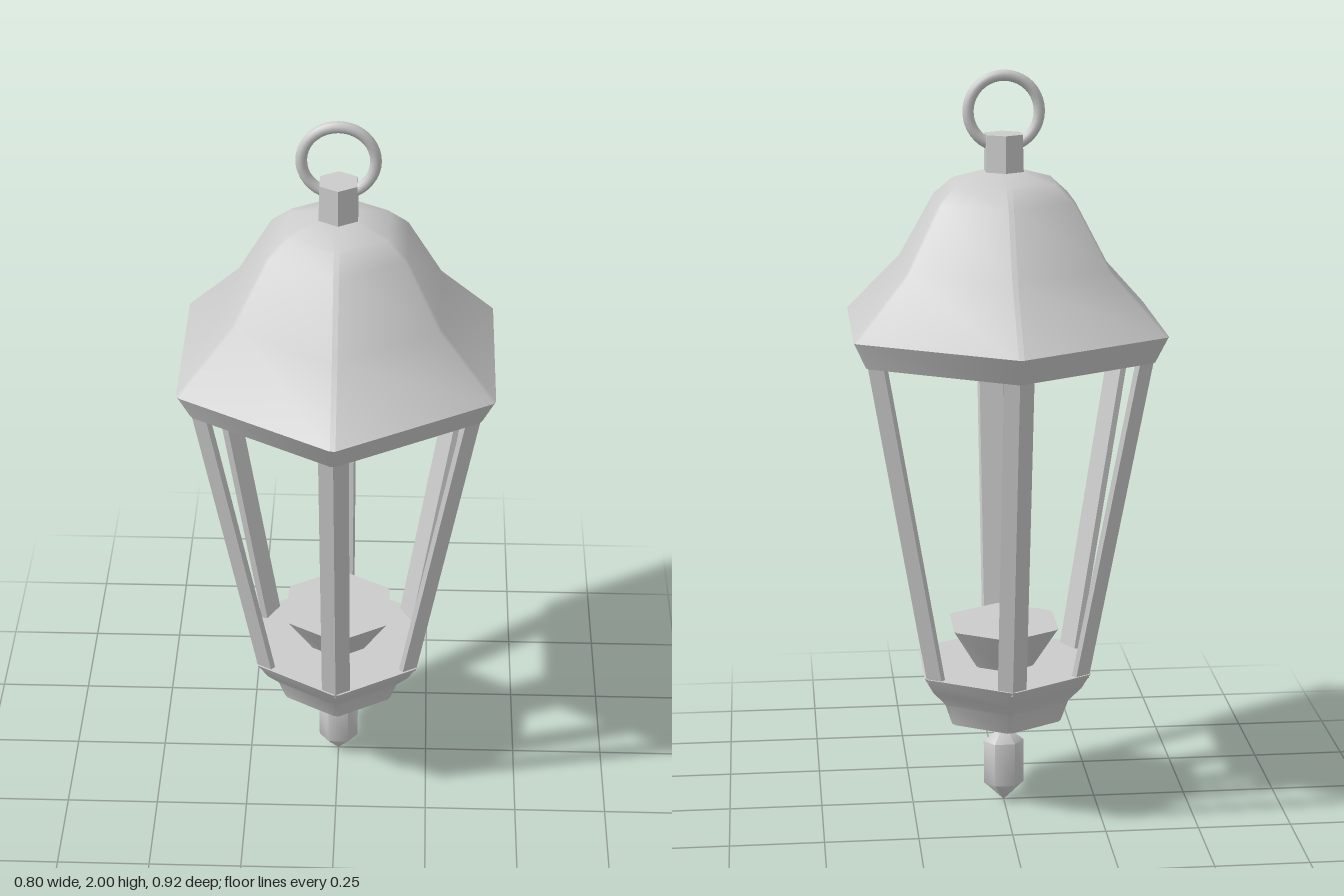
import * as THREE from 'three';
import { toCreasedNormals } from 'three/addons/utils/BufferGeometryUtils.js';

const material = new THREE.MeshStandardMaterial({ color: 0xcccccc });

function part(name, geometry) {
  const mesh = new THREE.Mesh(geometry, material);
  mesh.name = name;
  return mesh;
}

// Turned shape from [radius, y] pairs, bottom to top
function turned(profile, sides) {
  return new THREE.LatheGeometry(profile.map(([r, y]) => new THREE.Vector2(r, y)), sides);
}

// Hexagonal turned shape, corners on the z axis, each corner cut by a narrow chamfer
function hexTurned(profile) {
  const geometry = turned(profile, 12);
  const p = geometry.attributes.position;
  for (let i = 0; i <= 12; i++) {
    const angle = Math.floor((i + 1) / 2) * Math.PI / 3;
    const side = i % 2 ? -1 : 1;
    profile.forEach(([r, y], j) => {
      const cut = Math.min(0.008, r * 0.25);
      const out = r - cut * 0.5;
      const along = side * cut * 0.866;
      p.setXYZ(i * profile.length + j,
        out * Math.sin(angle) + along * Math.cos(angle), y,
        out * Math.cos(angle) - along * Math.sin(angle));
    });
  }
  return toCreasedNormals(geometry, 0.6);
}

// Corner post: angled outer faces follow the hexagon, leaning outward toward the top
function postGeometry(bottom, top) {
  const shape = new THREE.Shape([
    [0, 0], [0.038, 0.022], [0.033, 0.037], [-0.033, 0.037], [-0.038, 0.022],
  ].map(([x, y]) => new THREE.Vector2(x, y)));
  const geometry = new THREE.ExtrudeGeometry(shape, { depth: 1, bevelEnabled: false });
  geometry.rotateX(-Math.PI / 2);
  const p = geometry.attributes.position;
  for (let i = 0; i < p.count; i++) {
    const t = p.getY(i);
    p.setY(i, THREE.MathUtils.lerp(bottom.y, top.y, t));
    p.setZ(i, p.getZ(i) + THREE.MathUtils.lerp(bottom.r, top.r, t));
  }
  geometry.computeVertexNormals();
  return geometry;
}

export function createModel() {
  const lantern = new THREE.Group();
  lantern.name = 'lantern';

  // Bell-shaped roof with a bevelled rim and closed underside
  lantern.add(part('roof', hexTurned([
    [0, 1.272], [0.428, 1.272], [0.464, 1.342], [0.304, 1.5],
    [0.203, 1.67], [0.148, 1.715], [0.06, 1.74], [0, 1.742],
  ])));

  // Neck and hanging ring
  const neck = turned([[0, 1.73], [0.057, 1.73], [0.054, 1.836], [0, 1.836]], 6);
  lantern.add(part('neck', toCreasedNormals(neck, 0.6)));
  const ring = part('hangingRing', new THREE.TorusGeometry(0.092, 0.0145, 12, 40));
  ring.position.y = 1.8935;
  lantern.add(ring);

  // Corner posts
  const posts = new THREE.Group();
  posts.name = 'cornerPosts';
  const geometry = postGeometry({ y: 0.39, r: 0.25 }, { y: 1.28, r: 0.423 });
  for (let i = 0; i < 6; i++) {
    const post = part('cornerPost', geometry);
    post.rotation.y = i * Math.PI / 3;
    posts.add(post);
  }
  lantern.add(posts);

  // Stepped base tapering to the finial stem
  lantern.add(part('base', hexTurned([
    [0.012, 0.19], [0.016, 0.205], [0.035, 0.225], [0.17, 0.255],
    [0.192, 0.315], [0.23, 0.355], [0.258, 0.402], [0, 0.402],
  ])));

  // Candle cup
  lantern.add(part('candleCup', hexTurned([
    [0, 0.395], [0.085, 0.395], [0.162, 0.514], [0, 0.514],
  ])));

  // Flattened faceted finial, corners on the x axis
  const finial = turned([[0, 0], [0.054, 0.05], [0.055, 0.172], [0.016, 0.205], [0, 0.206]], 6);
  finial.rotateY(Math.PI / 6).scale(1, 1, 0.73);
  lantern.add(part('finial', toCreasedNormals(finial, 0.95)));

  return lantern;
}
